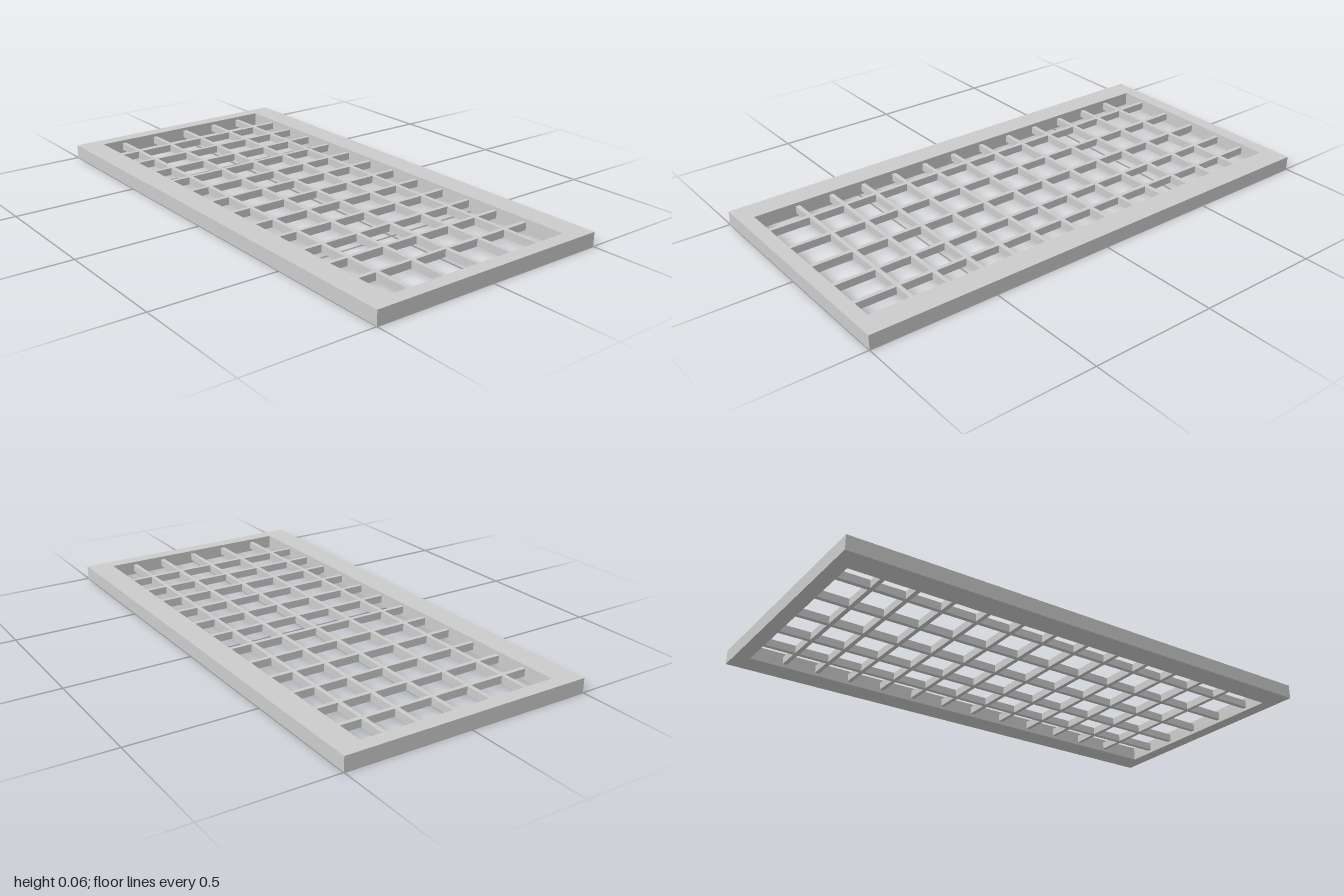
import * as THREE from 'three';

const FRAME_HEIGHT = 0.056;
const BAR_HEIGHT = 0.03;
const BAR_WIDTH = 0.017;
const OPENING = { x: 0.943, z: 0.402 };

// Closed rectangular path centred on the origin
function rectangle(path, halfX, halfY) {
  path.moveTo(-halfX, -halfY);
  path.lineTo(halfX, -halfY);
  path.lineTo(halfX, halfY);
  path.lineTo(-halfX, halfY);
  path.closePath();
  return path;
}

export function createModel() {
  const model = new THREE.Group();
  model.name = 'grating';
  const material = new THREE.MeshStandardMaterial({ color: 0xcccccc, flatShading: true });

  // Outer frame, wider along the two long sides
  const outline = rectangle(new THREE.Shape(), 1, 0.5);
  outline.holes.push(rectangle(new THREE.Path(), OPENING.x, OPENING.z));
  const frameGeometry = new THREE.ExtrudeGeometry(outline, { depth: FRAME_HEIGHT, bevelEnabled: false });
  frameGeometry.rotateX(-Math.PI / 2);
  const frame = new THREE.Mesh(frameGeometry, material);
  frame.name = 'frame';
  model.add(frame);

  // Thin bars, recessed from both the top and the bottom of the frame
  const bars = new THREE.Group();
  bars.name = 'bars';
  bars.position.y = FRAME_HEIGHT / 2;
  model.add(bars);

  const addBar = (name, sizeX, sizeZ, x, z) => {
    const bar = new THREE.Mesh(new THREE.BoxGeometry(sizeX, BAR_HEIGHT, sizeZ), material);
    bar.name = name;
    bar.position.set(x, 0, z);
    bars.add(bar);
  };

  // Crossbars from front to back
  const crossbarX = [-0.805, -0.67, -0.53, -0.387, -0.243, -0.099, 0.046, 0.19, 0.335, 0.478, 0.62, 0.765];
  crossbarX.forEach((x, i) => addBar(`crossbar${i + 1}`, BAR_WIDTH, OPENING.z * 2, x, 0));

  // Long bars from side to side
  const longBarZ = [-0.296, -0.162, -0.01, 0.146, 0.302];
  longBarZ.forEach((z, i) => addBar(`longBar${i + 1}`, OPENING.x * 2, BAR_WIDTH, 0, z));

  return model;
}
